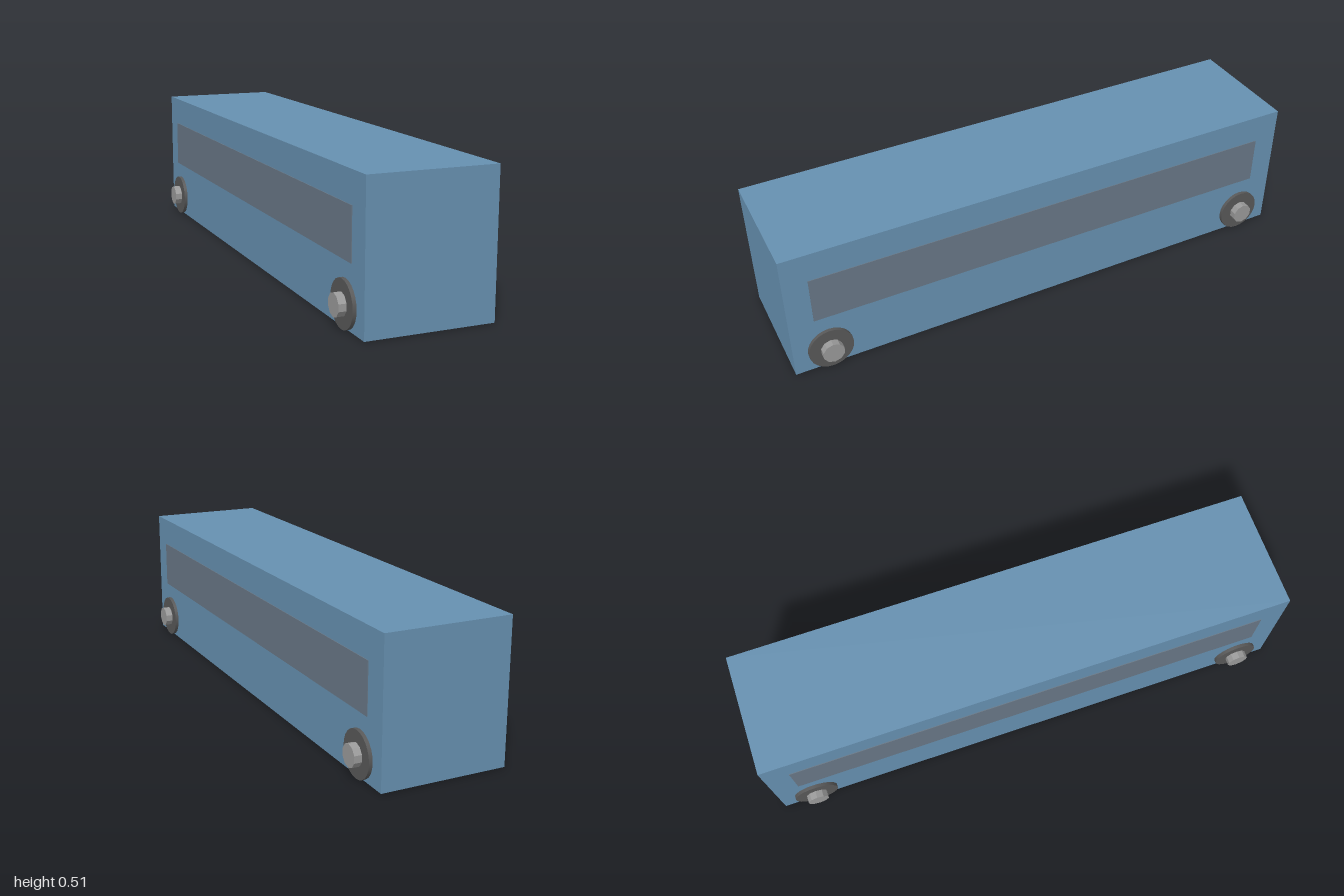
import * as THREE from 'three';

const paint = (name, color) => {
  const m = new THREE.MeshStandardMaterial({ color });
  m.name = name;
  return m;
};

export function createModel() {
  const blue = paint('body blue', 0x6690b0);
  const slate = paint('window slate', 0x687786);
  const rubber = paint('tyre grey', 0x585858);
  const steel = paint('hub grey', 0x999999);
  steel.flatShading = true;

  const model = new THREE.Group();
  model.name = 'carriage';

  const add = (parent, name, geometry, material, x, y, z) => {
    const mesh = new THREE.Mesh(geometry, material);
    mesh.name = name;
    mesh.position.set(x, y, z);
    parent.add(mesh);
    return mesh;
  };

  // Plain box body, its floor just above the ground
  add(model, 'body', new THREE.BoxGeometry(0.454, 0.507, 2), blue, 0, 0.2555, 0);

  // Cylinders turned to lie along x, with a vertex at the top
  const disc = (r, length, sides) =>
    new THREE.CylinderGeometry(r, r, length, sides).rotateY(Math.PI / 2).rotateZ(Math.PI / 2);
  const tyre = disc(0.082, 0.043, 24);
  const hub = disc(0.04, 0.07, 10);
  const strip = new THREE.BoxGeometry(0.006, 0.18, 1.82);

  for (const side of [1, -1]) {
    const label = side > 0 ? 'left' : 'right';
    // Long window strip standing slightly proud of the wall
    add(model, `${label}Window`, strip, slate, side * 0.2265, 0.31, 0);

    // Wheels half sunk into the body, each with a ten-sided hub
    for (const end of [1, -1]) {
      const wheel = new THREE.Group();
      wheel.name = `${label}${end > 0 ? 'Front' : 'Rear'}Wheel`;
      wheel.position.set(0, 0.082, end * 0.865);
      add(wheel, 'tyre', tyre, rubber, side * 0.2185, 0, 0);
      add(wheel, 'hub', hub, steel, side * 0.232, 0, 0);
      model.add(wheel);
    }
  }
  return model;
}
